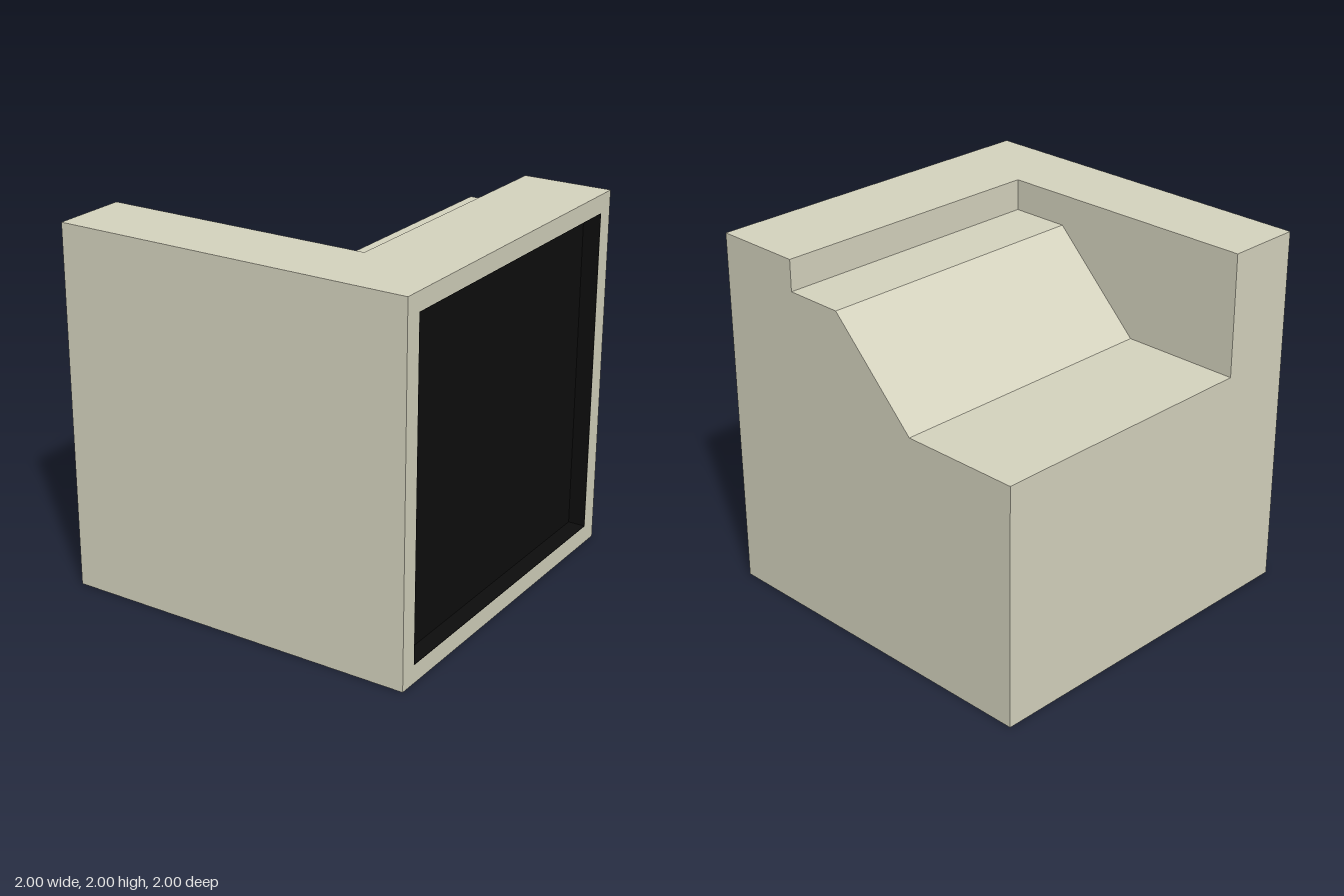
import * as THREE from 'three';

const DEPTH = 0.1;   // depth of the screen recess in the +x side
const WALL_Z = 0.58; // inner face of the front wall

// Square centred at (0, 1) with the given half size
const square = (Type, r) => new Type(
  [[-r, 1 - r], [r, 1 - r], [r, 1 + r], [-r, 1 + r]].map(([x, y]) => new THREE.Vector2(x, y)));

// Square ring extruded along x, ending flush with the +x side
function sideRing(outer, inner) {
  const shape = square(THREE.Shape, outer);
  shape.holes.push(square(THREE.Path, inner));
  return new THREE.ExtrudeGeometry(shape, { depth: DEPTH, bevelEnabled: false })
    .rotateY(Math.PI / 2).translate(1 - DEPTH, 0, 0);
}

export function createModel() {
  const group = new THREE.Group();
  const shell = new THREE.MeshStandardMaterial({ color: 0xd6d4bf });
  const black = new THREE.MeshStandardMaterial({ color: 0x0d0d0d });
  const add = (name, geometry, material) => {
    const mesh = new THREE.Mesh(geometry, material);
    mesh.name = name;
    group.add(mesh);
  };

  // Stepped body: low ledge, slope, high ledge and full-height block
  const end = 1 - DEPTH;
  const profile = [[-1, 0], [end, 0], [end, 2], [0.5, 2], [0.5, 1.83],
    [0.17, 1.83], [-0.33, 1.33], [-1, 1.33]].map(([x, y]) => new THREE.Vector2(x, y));
  // Correct the slope ends to follow the ledge heights
  add('steppedBody', new THREE.ExtrudeGeometry(new THREE.Shape(profile),
    { depth: 1 + WALL_Z, bevelEnabled: false }).translate(0, 0, -1), shell);

  // Full-height front wall
  add('frontWall', new THREE.BoxGeometry(1 + end, 2, 1 - WALL_Z)
    .translate((end - 1) / 2, 1, (1 + WALL_Z) / 2), shell);

  // Bezel around the recessed screen, with its dark lining
  add('screenBezel', sideRing(1, 0.9), shell);
  add('recessLining', sideRing(0.9, 0.897), black);
  add('screen', new THREE.BoxGeometry(0.004, 1.8, 1.8).translate(end + 0.002, 1, 0), black);

  return group;
}
